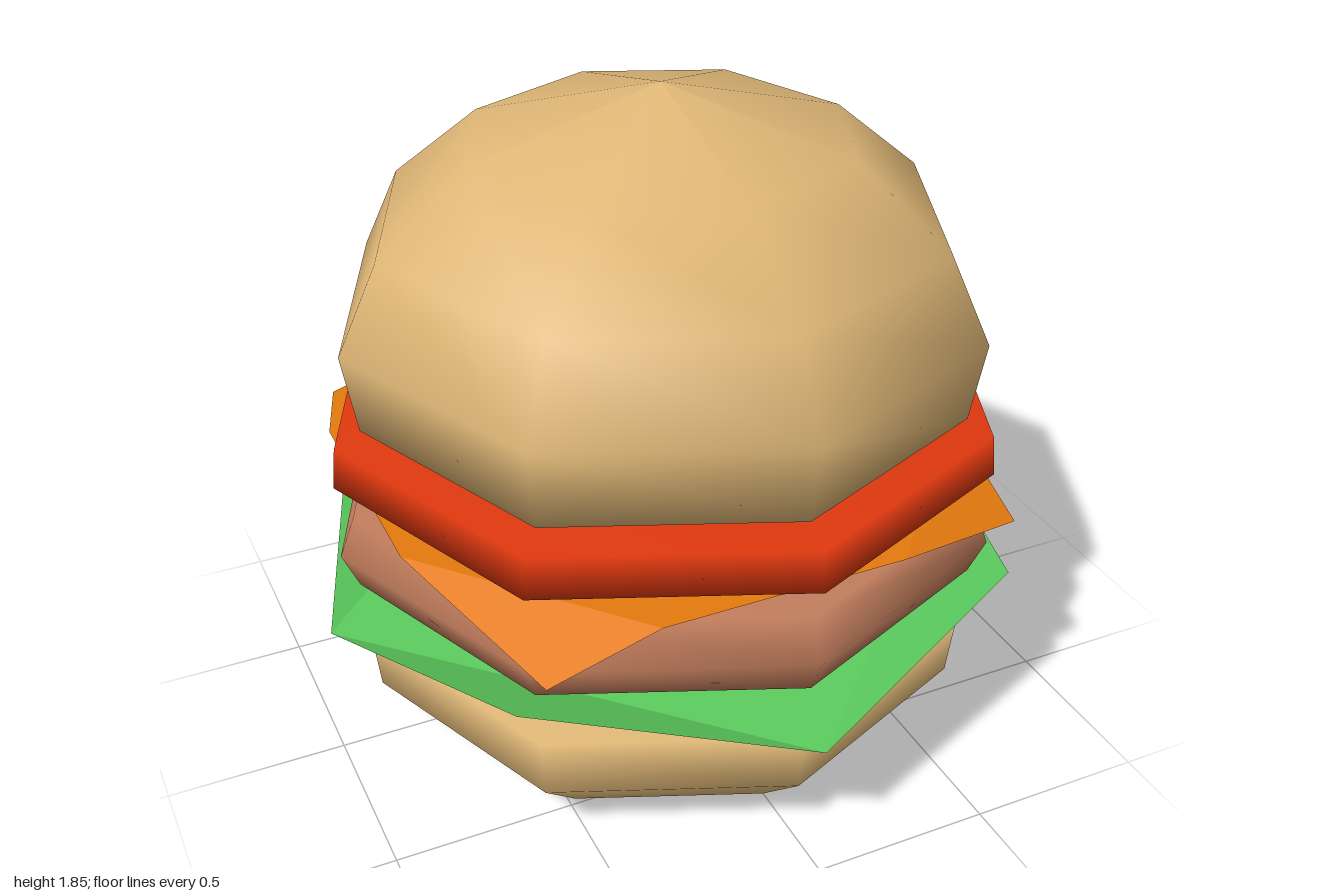
import * as THREE from 'three';

const mat = (name, color, side = THREE.FrontSide) => {
  const m = new THREE.MeshStandardMaterial({ color, side });
  m.name = name;
  return m;
};

// Eight-sided smooth solid from a profile of [radius, y], bottom to top
function octagonal(name, profile, material) {
  const geo = new THREE.LatheGeometry(profile.map(([r, y]) => new THREE.Vector2(r, y)), 8);
  const mesh = new THREE.Mesh(geo, material);
  mesh.name = name;
  return mesh;
}

// Flat polygon sheet (counter-clockwise from above) with folded corner triangles.
// corners: [index of the edge's first point, tip]
function foldedSheet(name, rim, corners, material) {
  const pos = [];
  for (let i = 1; i < rim.length - 1; i++) pos.push(...rim[0], ...rim[i], ...rim[i + 1]);
  for (const [i, tip] of corners) pos.push(...rim[i], ...tip, ...rim[(i + 1) % rim.length]);
  const geo = new THREE.BufferGeometry();
  geo.setAttribute('position', new THREE.Float32BufferAttribute(pos, 3));
  geo.computeVertexNormals();
  const mesh = new THREE.Mesh(geo, material);
  mesh.name = name;
  return mesh;
}

export function createModel() {
  const group = new THREE.Group();
  group.name = 'burger';
  const bun = mat('bun tan', 0xdeb676);
  const tomato = mat('tomato red', 0xdd380e);
  const meat = mat('patty brown', 0xc07c5c);
  const cheese = mat('cheese orange', 0xe47a0e, THREE.DoubleSide);
  const leaf = mat('lettuce green', 0x5ccc5e, THREE.DoubleSide);

  // Solid layers
  group.add(
    octagonal('bottomBun', [[0, 0.005], [0.68, 0.005], [0.87, 0.19], [0.89, 0.37], [0, 0.37]], bun),
    octagonal('patty', [[0, 0.545], [0.905, 0.545], [0.95, 0.65], [0.905, 0.765], [0, 0.765]], meat),
    octagonal('tomatoSlice', [[0, 0.87], [0.95, 0.87], [0.938, 0.985], [0, 0.985]], tomato),
    octagonal('topBun', [[0, 1.025], [0.865, 1.025], [0.902, 1.25], [0.787, 1.49], [0.53, 1.705], [0, 1.85]], bun),
  );

  // Lettuce: square leaf with its corners folded up
  const y = 0.407, t = 0.565;
  group.add(foldedSheet('lettuce',
    [[0, y, 1], [1, y, 0], [0, y, -1], [-1, y, 0]],
    [[0, [0.72, t, 0.72]], [1, [0.72, t, -0.74]], [2, [-0.73, t, -0.73]], [3, [-0.72, t, 0.72]]],
    leaf));

  // Cheese: slightly tilted slice with its corners drooping
  const rim = [[-0.38, 0.84], [0.3, 0.84], [0.78, 0.3], [0.78, -0.45],
    [0.4, -0.79], [-0.32, -0.79], [-0.865, -0.36], [-0.865, 0.3]]
    .map(([x, z]) => [x, 0.82 - 0.012 * z, z]);
  group.add(foldedSheet('cheeseSlice', rim,
    [[1, [0.72, 0.735, 0.72]], [3, [0.72, 0.745, -0.75]],
      [5, [-0.77, 0.765, -0.68]], [7, [-0.68, 0.715, 0.83]]],
    cheese));

  return group;
}
